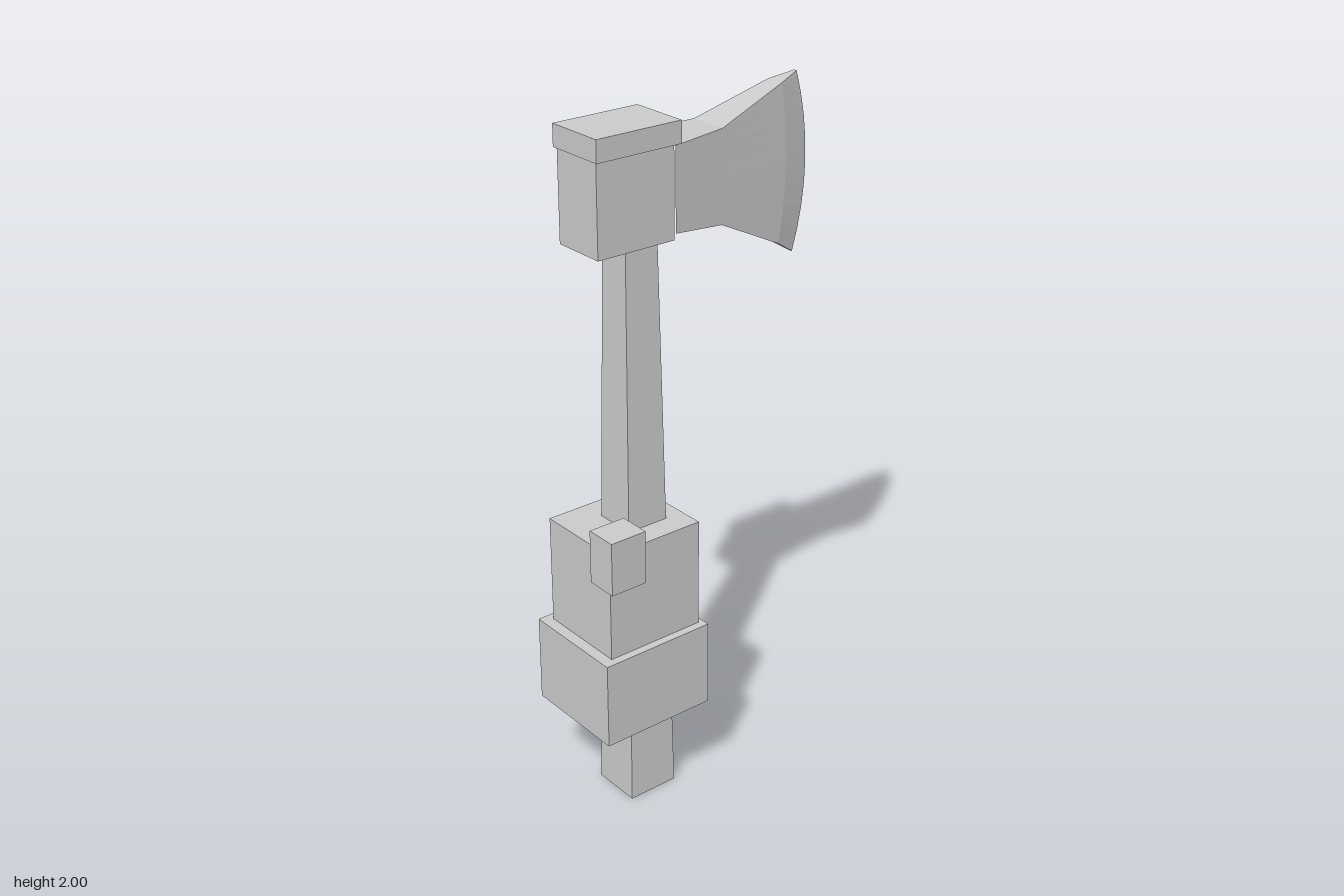
import * as THREE from 'three';

const material = new THREE.MeshStandardMaterial({ color: 0xcccccc, flatShading: true });

function addMesh(group, name, geometry) {
  const mesh = new THREE.Mesh(geometry, material);
  mesh.name = name;
  group.add(mesh);
  return mesh;
}

// Box given by its minimum and maximum corners
function addBox(group, name, [x0, y0, z0], [x1, y1, z1]) {
  const mesh = addMesh(group, name, new THREE.BoxGeometry(x1 - x0, y1 - y0, z1 - z0));
  mesh.position.set((x0 + x1) / 2, (y0 + y1) / 2, (z0 + z1) / 2);
}

// Square handle, narrowing upwards, with one back corner drawn slightly out
function handleGeometry() {
  const geometry = new THREE.BoxGeometry(2, 1.66, 2);
  geometry.translate(0, 0.83, 0);
  const p = geometry.attributes.position;
  for (let i = 0; i < p.count; i++) {
    const x = p.getX(i), y = p.getY(i), z = p.getZ(i);
    const half = THREE.MathUtils.lerp(0.077, 0.051, y / 1.66);
    const extra = x < 0 && z < 0 ? 0.006 : 0;
    const s = x < 0 && z > 0 ? 0.005 : 0;
    p.setXYZ(i, x * (half + extra) + s, y, 0.188 + z * (half + extra));
  }
  geometry.computeVertexNormals();
  return geometry;
}

// Axe blade: cross-sections from the head socket out to the curved cutting edge
function bladeGeometry() {
  const rows = 9, ring = rows * 2;
  // z, half width, bottom, top, forward bulge at mid height
  const sections = [
    [0.1, 0.079, 1.676, 1.905, 0],
    [-0.07, 0.057, 1.655, 1.912, 0],
    [-0.295, 0.027, 1.544, 1.984, 0.02],
    [-0.365, 0.005, 1.5, 2.0, 0.04],
  ];
  const points = [], index = [];
  for (const [z, w, bottom, top, bulge] of sections) {
    for (let j = 0; j < ring; j++) {
      const right = j < rows;
      const t = (right ? j : ring - 1 - j) / (rows - 1);
      points.push(right ? w : -w, bottom + (top - bottom) * t, z - bulge * (1 - (2 * t - 1) ** 2));
    }
  }
  for (let i = 0; i < sections.length - 1; i++) {
    for (let j = 0; j < ring; j++) {
      const a = i * ring + j, b = i * ring + (j + 1) % ring;
      index.push(a, a + ring, b, b, a + ring, b + ring);
    }
  }
  // Narrow cutting edge
  const last = (sections.length - 1) * ring;
  for (let j = 0; j < rows - 1; j++) {
    const r = last + j, l = last + ring - 1 - j;
    index.push(r, l, r + 1, r + 1, l, l - 1);
  }
  const geometry = new THREE.BufferGeometry();
  geometry.setAttribute('position', new THREE.Float32BufferAttribute(points, 3));
  geometry.setIndex(index);
  const flat = geometry.toNonIndexed();
  flat.computeVertexNormals();
  return flat;
}

export function createModel() {
  const model = new THREE.Group();
  model.name = 'axe';

  addMesh(model, 'handle', handleGeometry());

  // Axe head
  const head = new THREE.Group();
  head.name = 'axeHead';
  addBox(head, 'socket', [-0.08, 1.66, 0.105], [0.08, 1.91, 0.345]);
  addBox(head, 'cap', [-0.089, 1.91, 0.088], [0.089, 1.97, 0.35]);
  addMesh(head, 'blade', bladeGeometry());
  model.add(head);

  // Stacked blocks gripping the handle
  const grip = new THREE.Group();
  grip.name = 'grip';
  addBox(grip, 'lowerBlock', [-0.159, 0.29, 0.053], [0.159, 0.545, 0.403]);
  addBox(grip, 'upperBlock', [-0.135, 0.545, 0.068], [0.135, 0.863, 0.37]);
  addBox(grip, 'cornerBlock', [0.063, 0.757, 0.268], [0.158, 0.913, 0.38]);
  model.add(grip);

  return model;
}
